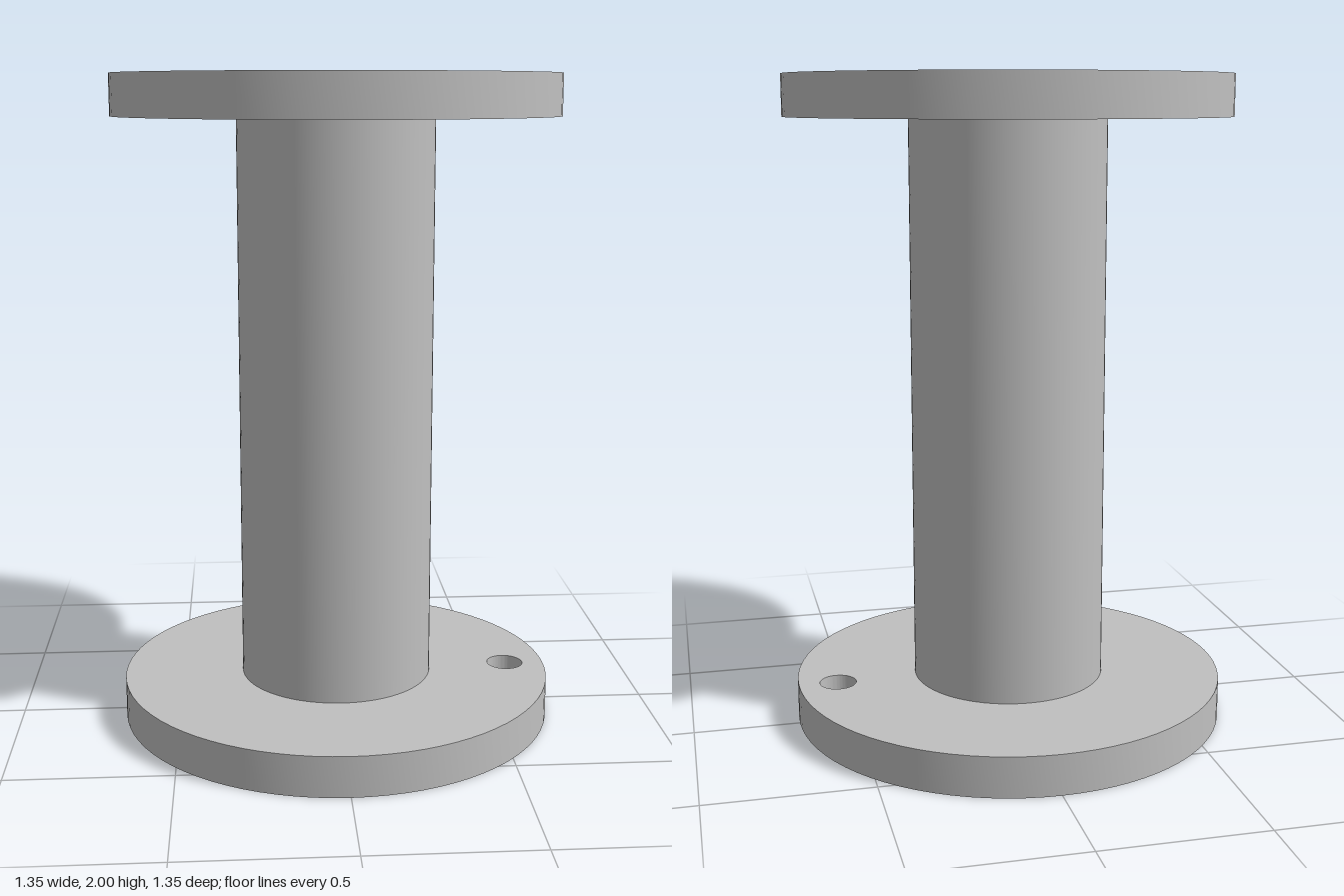
import * as THREE from 'three';
import { toCreasedNormals } from 'three/addons/utils/BufferGeometryUtils.js';

const HEIGHT = 2, FLANGE_R = 0.673, FLANGE_T = 0.125;
const TUBE_R = 0.3, BORE_R = 0.23;
const HOLE_X = 0.55, HOLE_R = 0.057;

// Upright disc with round holes given as [x, radius], smooth round its sides
function discWithHoles(radius, height, holes) {
  const shape = new THREE.Shape().absarc(0, 0, radius, 0, Math.PI * 2, false);
  for (const [x, r] of holes) {
    shape.holes.push(new THREE.Path().absarc(x, 0, r, 0, Math.PI * 2, true));
  }
  const geometry = new THREE.ExtrudeGeometry(shape, {
    depth: height, bevelEnabled: false, curveSegments: 40,
  });
  geometry.rotateX(-Math.PI / 2);
  return toCreasedNormals(geometry, Math.PI / 6);
}

export function createModel() {
  const group = new THREE.Group();
  group.name = 'spool';
  const grey = new THREE.MeshStandardMaterial({ color: 0xc0c0c0 });
  grey.name = 'grey';

  const add = (name, geometry, y) => {
    const mesh = new THREE.Mesh(geometry, grey);
    mesh.name = name;
    mesh.position.y = y;
    group.add(mesh);
  };

  // Two matching flanges, each with the bore and a small side hole
  const flange = discWithHoles(FLANGE_R, FLANGE_T, [[0, BORE_R], [HOLE_X, HOLE_R]]);
  add('bottomFlange', flange, 0);
  add('topFlange', flange, HEIGHT - FLANGE_T);

  // Hollow core between the flanges
  add('coreTube', discWithHoles(TUBE_R, HEIGHT - 2 * FLANGE_T, [[0, BORE_R]]), FLANGE_T);

  return group;
}
